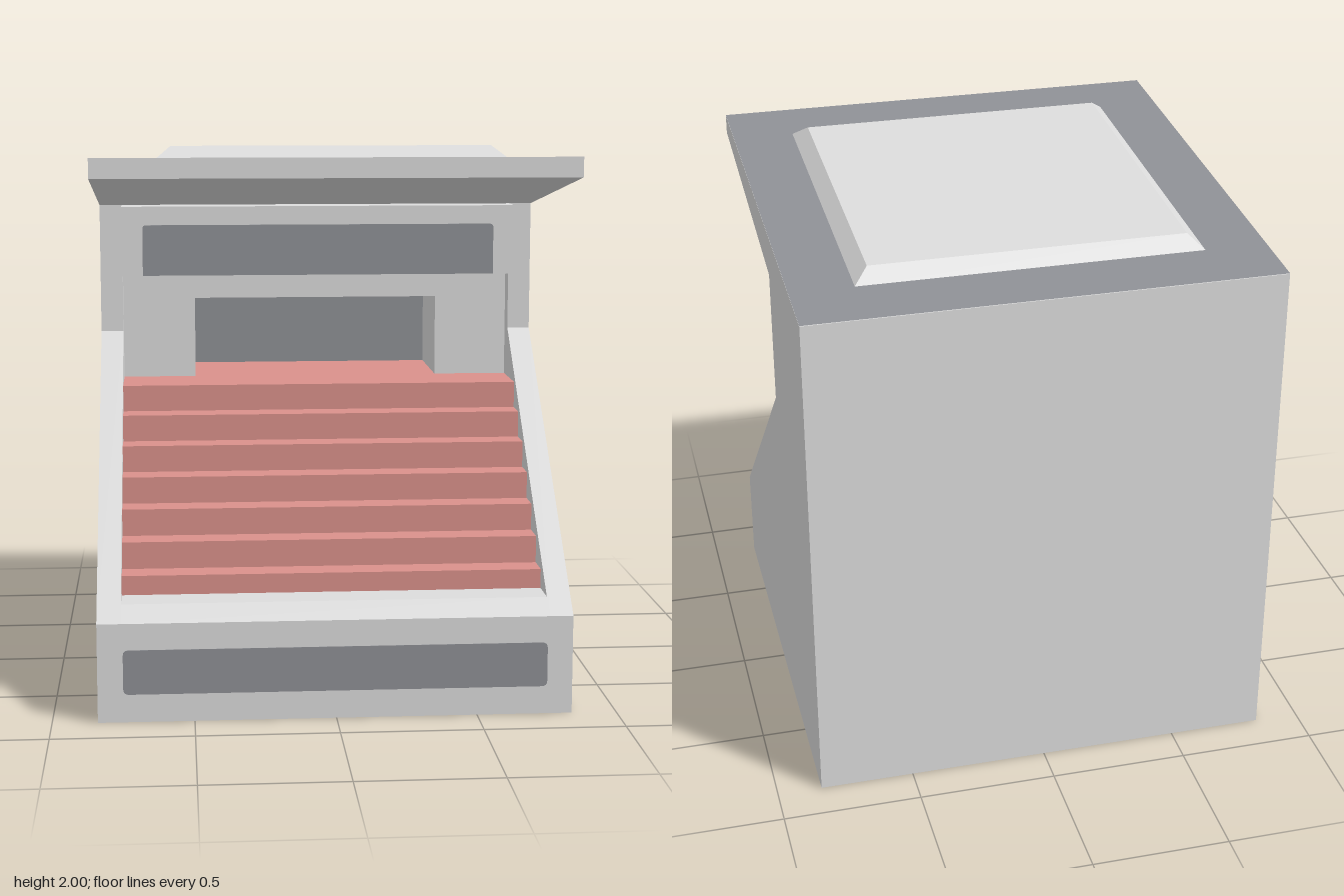
import * as THREE from 'three';

const W = 1.68;          // overall width
const INNER = 1.51;      // width between the side walls
const TILT = Math.atan(0.1 / 1.72);

export function createModel() {
  const model = new THREE.Group();
  model.name = 'steppedCabinet';

  const material = (name, color) => {
    const m = new THREE.MeshStandardMaterial({ color });
    m.name = name;
    return m;
  };
  const shell = material('lightGrey', 0xdcdcdc);
  const dark = material('darkGrey', 0x8f9196);
  const red = material('softRed', 0xda918b);

  const add = (name, geometry, mat, x = 0, y = 0, z = 0) => {
    const mesh = new THREE.Mesh(geometry, mat);
    mesh.name = name;
    mesh.position.set(x, y, z);
    model.add(mesh);
    return mesh;
  };

  // Side profile given as [z, y] points, extruded across x and centred
  const across = (points, width) => {
    const shape = new THREE.Shape(points.map(([z, y]) => new THREE.Vector2(z, y)));
    return new THREE.ExtrudeGeometry(shape, { depth: width, bevelEnabled: false })
      .translate(0, 0, -width / 2)
      .rotateY(-Math.PI / 2);
  };

  // Thin front-facing plate with rounded corners
  const plate = (w, h, r, rBottom = r) => {
    const s = new THREE.Shape();
    const x = w / 2, y = h / 2;
    s.moveTo(-x + rBottom, -y);
    s.lineTo(x - rBottom, -y);
    s.quadraticCurveTo(x, -y, x, -y + rBottom);
    s.lineTo(x, y - r);
    s.quadraticCurveTo(x, y, x - r, y);
    s.lineTo(-x + r, y);
    s.quadraticCurveTo(-x, y, -x, y - r);
    s.lineTo(-x, -y + rBottom);
    s.quadraticCurveTo(-x, -y, -x + rBottom, -y);
    return new THREE.ExtrudeGeometry(s, { depth: 0.004, bevelEnabled: false, curveSegments: 4 });
  };

  // Side walls
  const wall = [[0.83, 0], [0.83, 0.355], [-0.18, 1.26], [-0.18, 1.75], [-0.86, 1.75], [-0.86, 0]];
  const wallWidth = (W - INNER) / 2;
  for (const side of [1, -1]) {
    add(side > 0 ? 'leftWall' : 'rightWall', across(wall, wallWidth), shell, side * (INNER + wallWidth) / 2);
  }

  // Base with front lip, and back wall
  add('baseAndBack', across([
    [0.83, 0], [0.83, 0.355], [0.77, 0.41], [-0.65, 0.41], [-0.65, 1.75], [-0.86, 1.75], [-0.86, 0],
  ], INNER), shell);

  // Steps up to the landing
  const steps = [[-0.65, 0.41], [0.64, 0.41]];
  for (let i = 0; i < 7; i++) {
    const z = 0.64 - 0.107 * i, y = 0.48 + 0.0983 * i;
    steps.push([z, y], [i < 6 ? z - 0.107 : -0.65, y]);
  }
  add('steps', across(steps, INNER), red);

  // Alcove frame: two pillars and a lintel
  const frame = new THREE.Shape([
    [-0.755, 1.07], [-0.475, 1.07], [-0.475, 1.38], [0.475, 1.38],
    [0.475, 1.07], [0.755, 1.07], [0.755, 1.75], [-0.755, 1.75],
  ].map(([x, y]) => new THREE.Vector2(x, y)));
  add('alcoveFrame', new THREE.ExtrudeGeometry(frame, { depth: 0.4, bevelEnabled: false }), shell, 0, 0, -0.65);
  add('alcoveBackPanel', plate(0.95, 0.31, 0.002), dark, 0, 1.225, -0.65);

  // Overhead display box and its panel
  add('displayBox', new THREE.BoxGeometry(INNER, 0.265, 0.19), shell, 0, 1.6175, -0.155);
  add('displayPanel', plate(1.35, 0.193, 0.015, 0.001), dark, 0, 1.583, -0.061);

  // Front panel
  add('frontPanel', plate(1.5, 0.16, 0.02), dark, 0, 0.18, 0.828);

  // Overhanging roof with a dark top face
  add('roof', across([
    [-0.86, 1.75], [-0.86, 1.87], [0.86, 1.97], [0.86, 1.9], [-0.18, 1.75],
  ], W), shell);
  const topFace = new THREE.PlaneGeometry(W, 1.72 / Math.cos(TILT)).rotateX(-Math.PI / 2 - TILT);
  add('roofTopFace', topFace, dark, 0, 1.922, 0);

  // Raised roof panel with bevelled sides
  const raised = new THREE.BoxGeometry(1.235, 0.047, 1.27).translate(0, 0.0235, 0);
  const p = raised.attributes.position;
  for (let i = 0; i < p.count; i++) {
    if (p.getY(i) > 0.02) {
      p.setX(i, p.getX(i) * 0.913);
      p.setZ(i, p.getZ(i) * 0.913);
    }
  }
  raised.computeVertexNormals();
  add('raisedRoofPanel', raised.rotateX(-TILT), shell, 0, 1.92, -0.003);

  return model;
}
